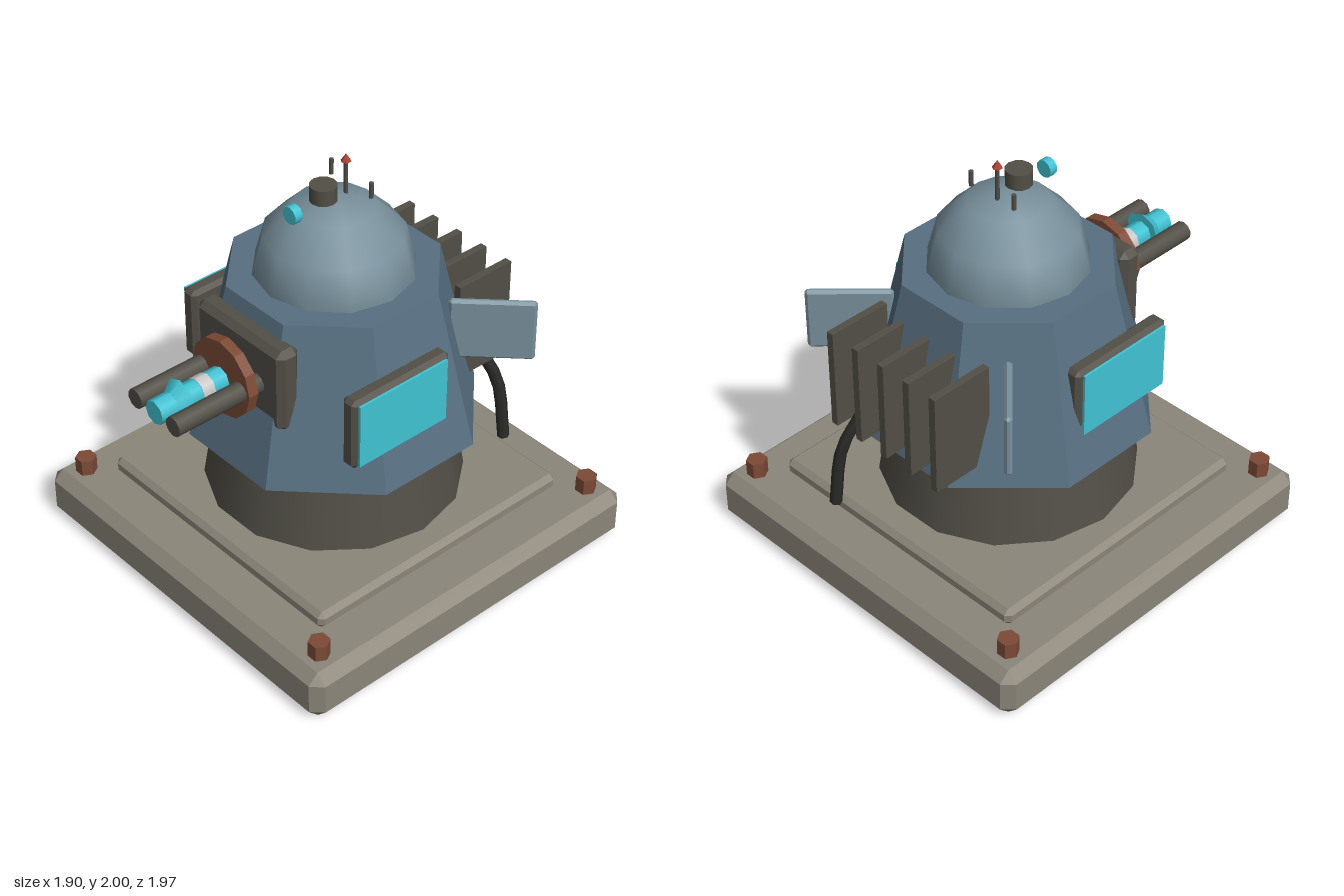
import * as THREE from 'three';
import { ConvexGeometry } from 'three/addons/geometries/ConvexGeometry.js';

const mat = (color, flatShading = false) => new THREE.MeshStandardMaterial({ color, flatShading });
const STONE = mat(0x8c867a, true), DARK = mat(0x524f47), IRON = mat(0x524f47, true);
const BLUE = mat(0x587082, true), STEEL = mat(0x78909c), PLATE = mat(0x78909c, true);
const CYAN = mat(0x40c4d4), RUST = mat(0x7d4a36, true), RED = mat(0xa8402f, true);
const LIGHT = mat(0xcccccc), CABLE = mat(0x2c2c2a);
const CZ = -0.035; // centre line of the turret and base

export function createModel() {
  const group = new THREE.Group();

  const add = (name, geometry, material, x = 0, y = 0, z = 0) => {
    const mesh = new THREE.Mesh(geometry, material);
    mesh.name = name;
    mesh.position.set(x, y, z);
    group.add(mesh);
    return mesh;
  };

  // Box with every edge chamfered by b
  const chamferBox = (w, h, d, b) => {
    const pts = [];
    for (const sx of [-1, 1]) for (const sy of [-1, 1]) for (const sz of [-1, 1]) {
      const x = w / 2, y = h / 2, z = d / 2;
      for (const [px, py, pz] of [[x, y - b, z - b], [x - b, y, z - b], [x - b, y - b, z]])
        pts.push(new THREE.Vector3(sx * px, sy * py, sz * pz));
    }
    return new ConvexGeometry(pts);
  };
  const cyl = (rTop, rBottom, h, sides) => new THREE.CylinderGeometry(rTop, rBottom, h, sides);
  // Cylinder lying along z, first radius at the front
  const rod = (rFront, rBack, length, sides) => cyl(rFront, rBack, length, sides).rotateX(Math.PI / 2);

  // Base slabs and corner bolts
  add('baseSlab', chamferBox(1.9, 0.25, 1.9, 0.05), STONE, 0, 0.125, CZ);
  add('upperSlab', chamferBox(1.45, 0.085, 1.45, 0.025), STONE, 0, 0.29, CZ);
  for (const sx of [-1, 1]) for (const sz of [-1, 1])
    add('bolt', cyl(0.05, 0.05, 0.1, 6).rotateY(Math.PI / 2), RUST, sx * 0.82, 0.28, CZ + sz * 0.82);

  // Pedestal and turning ring
  add('pedestal', cyl(0.55, 0.6, 0.31, 14).rotateY(Math.PI / 2), DARK, 0, 0.48, CZ + 0.005);
  add('turningRing', cyl(0.55, 0.55, 0.08, 14).rotateY(Math.PI / 2), LIGHT, 0, 0.67, CZ + 0.005);

  // Eight-sided turret body with a flat front, and its dome
  add('turretBody', cyl(0.4925, 0.682, 0.76, 8).rotateY(Math.PI / 8), BLUE, 0, 1.08, CZ + 0.005);
  add('dome', new THREE.SphereGeometry(0.365, 12, 3, 0, Math.PI * 2, 0, Math.PI / 2), STEEL, 0, 1.457, CZ + 0.005);

  // Equipment on the dome
  add('hatch', cyl(0.062, 0.062, 0.075, 12), DARK, 0, 1.863, 0.033);
  add('sensorLens', rod(0.042, 0.042, 0.04, 10), CYAN, 0, 1.825, 0.204);
  add('antenna', cyl(0.01, 0.01, 0.17, 6), DARK, 0, 1.885, -0.095);
  add('antennaTip', new THREE.ConeGeometry(0.024, 0.037, 6), RED, 0, 1.982, -0.095);
  for (const s of [-1, 1]) add('domePost', cyl(0.011, 0.011, 0.075, 6), DARK, s * 0.127, 1.865, -0.125);

  // Gun mount and barrels
  add('gunMount', chamferBox(0.565, 0.42, 0.117, 0.03), IRON, 0, 1.18, 0.464);
  add('gunDisc', rod(0.19, 0.19, 0.05, 12), RUST, 0, 1.172, 0.593);
  for (const s of [-1, 1]) add('sideBarrel', rod(0.047, 0.047, 0.5, 10), DARK, s * 0.127, 1.172, 0.73);
  add('energyBarrel', rod(0.058, 0.058, 0.48, 8), CYAN, 0, 1.172, 0.738);
  add('barrelCollar', rod(0.061, 0.061, 0.062, 8), LIGHT, 0, 1.172, 0.723);
  add('muzzleCone', rod(0, 0.098, 0.135, 8), CYAN, 0, 1.172, 0.903);

  for (const s of [-1, 1]) {
    // Framed side panels
    add('panelFrame', chamferBox(0.085, 0.36, 0.56, 0.02), IRON, s * 0.532, 1.05, 0.09);
    add('panelScreen', new THREE.BoxGeometry(0.03, 0.32, 0.505), CYAN, s * 0.571, 1.05, 0.093);
    // Radial plates on the rear corners
    const vane = add('rearVane', chamferBox(0.036, 0.31, 0.39, 0.013), PLATE, s * 0.49, 1.145, -0.523);
    vane.rotation.y = -s * Math.PI / 4;
  }

  // Cooling fins
  for (let i = -2; i <= 2; i++)
    add('coolingFin', new THREE.BoxGeometry(0.036, 0.5, 0.315), IRON, i * 0.157, 1.05, -0.635);

  // Power cable from the fins down to the base
  const path = new THREE.CatmullRomCurve3([
    new THREE.Vector3(0.25, 0.86, -0.67),
    new THREE.Vector3(0.315, 0.64, -0.76),
    new THREE.Vector3(0.35, 0.32, -0.785),
  ]);
  add('powerCable', new THREE.TubeGeometry(path, 6, 0.029, 6), CABLE);

  return group;
}
